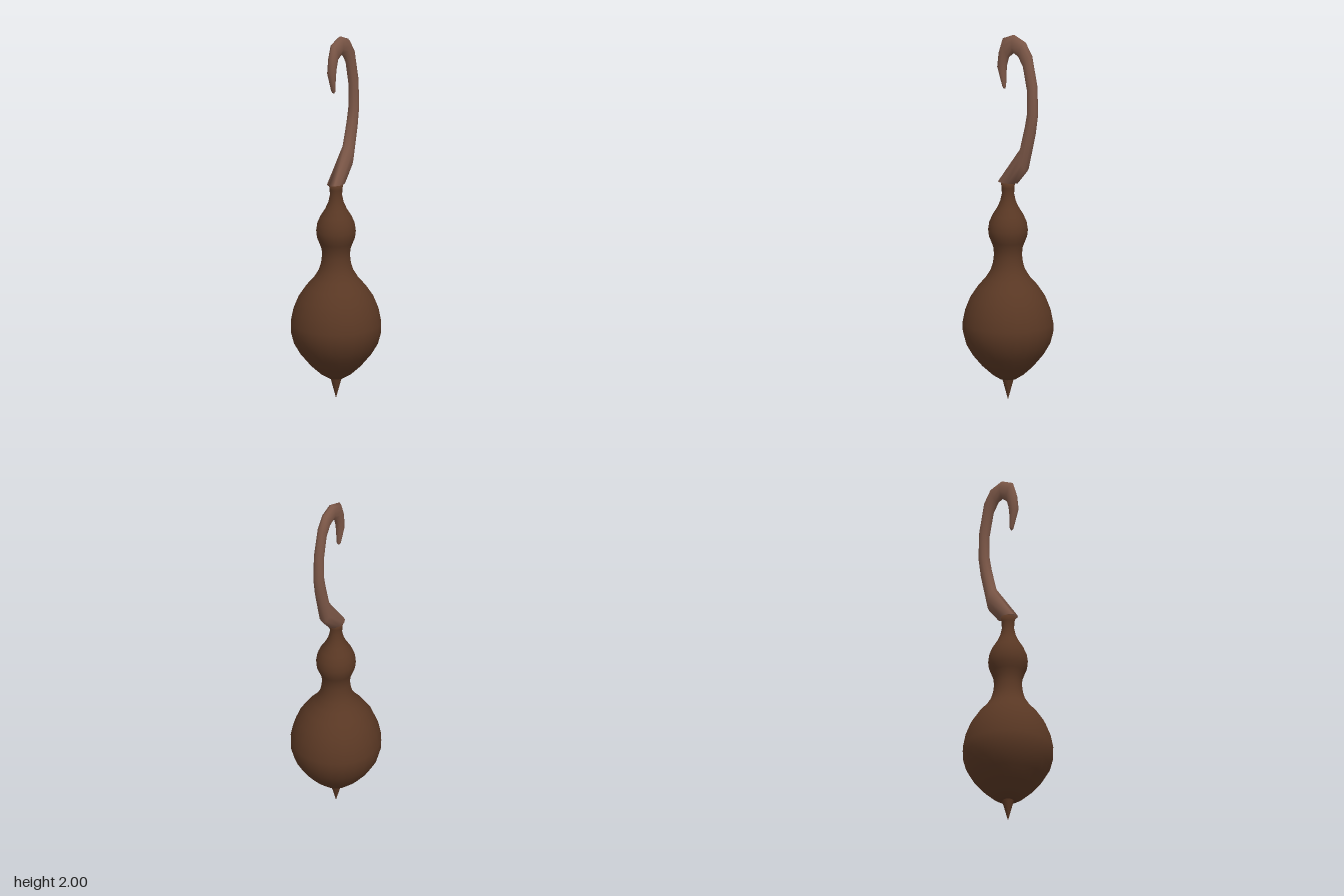
import * as THREE from 'three';

const wood = new THREE.MeshStandardMaterial({ color: 0x5a3824 });
wood.name = 'dark brown';
const horn = new THREE.MeshStandardMaterial({ color: 0x7d5848 });
horn.name = 'light brown';

function addMesh(group, name, geometry, material) {
  const mesh = new THREE.Mesh(geometry, material);
  mesh.name = name;
  group.add(mesh);
  return mesh;
}

// Skins elliptical rings given as [innerZ, innerY, outerZ, outerY, halfWidthX]
function loft(rings, sides) {
  const pos = [], index = [];
  for (const [iz, iy, oz, oy, w] of rings) {
    for (let s = 0; s < sides; s++) {
      const a = (s / sides) * Math.PI * 2;
      const t = (1 - Math.cos(a)) / 2;
      pos.push(w * Math.sin(a), iy + (oy - iy) * t, iz + (oz - iz) * t);
    }
  }
  for (let r = 0; r < rings.length - 1; r++) {
    for (let s = 0; s < sides; s++) {
      const a = r * sides + s, b = r * sides + (s + 1) % sides;
      index.push(a, b, a + sides, b, b + sides, a + sides);
    }
  }
  // End caps
  const last = (rings.length - 1) * sides;
  for (let s = 1; s < sides - 1; s++) {
    index.push(0, s + 1, s, last, last + s, last + s + 1);
  }
  const geometry = new THREE.BufferGeometry();
  geometry.setAttribute('position', new THREE.Float32BufferAttribute(pos, 3));
  geometry.setIndex(index);
  geometry.computeVertexNormals();
  return geometry;
}

export function createModel() {
  const model = new THREE.Group();
  model.name = 'hookedOrnament';

  // Turned body: bulb, neck, bead and stem
  const profile = [
    [0, 0.115], [0.045, 0.115], [0.085, 0.14], [0.14, 0.19], [0.19, 0.25],
    [0.225, 0.31], [0.241, 0.37], [0.242, 0.42], [0.228, 0.49], [0.2, 0.56],
    [0.16, 0.62], [0.12, 0.665], [0.092, 0.71], [0.08, 0.75], [0.075, 0.79],
    [0.077, 0.83], [0.09, 0.865], [0.102, 0.895], [0.106, 0.93], [0.1, 0.97],
    [0.083, 1.01], [0.058, 1.05], [0.042, 1.085], [0.033, 1.125],
    [0.034, 1.16], [0.039, 1.19], [0, 1.19],
  ].map(([r, y]) => new THREE.Vector2(r, y));
  addMesh(model, 'turnedBody', new THREE.LatheGeometry(profile, 24), wood);

  // Pointed spike below the bulb
  const spike = addMesh(model, 'bottomSpike', new THREE.ConeGeometry(0.034, 0.125, 12), wood);
  spike.rotation.x = Math.PI;
  spike.position.y = 0.0625;

  // Tapering hook that leans back, then curls forward to a blunt tip
  const hook = [
    [0.06, 1.19, -0.062, 1.19, 0.042],
    [-0.085, 1.39, -0.122, 1.262, 0.036],
    [-0.115, 1.515, -0.17, 1.465, 0.032],
    [-0.127, 1.58, -0.187, 1.58, 0.03],
    [-0.127, 1.705, -0.182, 1.735, 0.028],
    [-0.1, 1.83, -0.15, 1.9, 0.026],
    [-0.069, 1.882, -0.108, 1.97, 0.025],
    [-0.037, 1.898, -0.038, 2.0, 0.024],
    [-0.005, 1.873, 0.032, 1.972, 0.024],
    [0.01, 1.82, 0.055, 1.9, 0.024],
    [0.014, 1.775, 0.065, 1.82, 0.023],
    [0.015, 1.71, 0.033, 1.71, 0.013],
    [0.019, 1.698, 0.028, 1.7, 0.006],
  ];
  addMesh(model, 'hook', loft(hook, 10), horn);

  return model;
}
